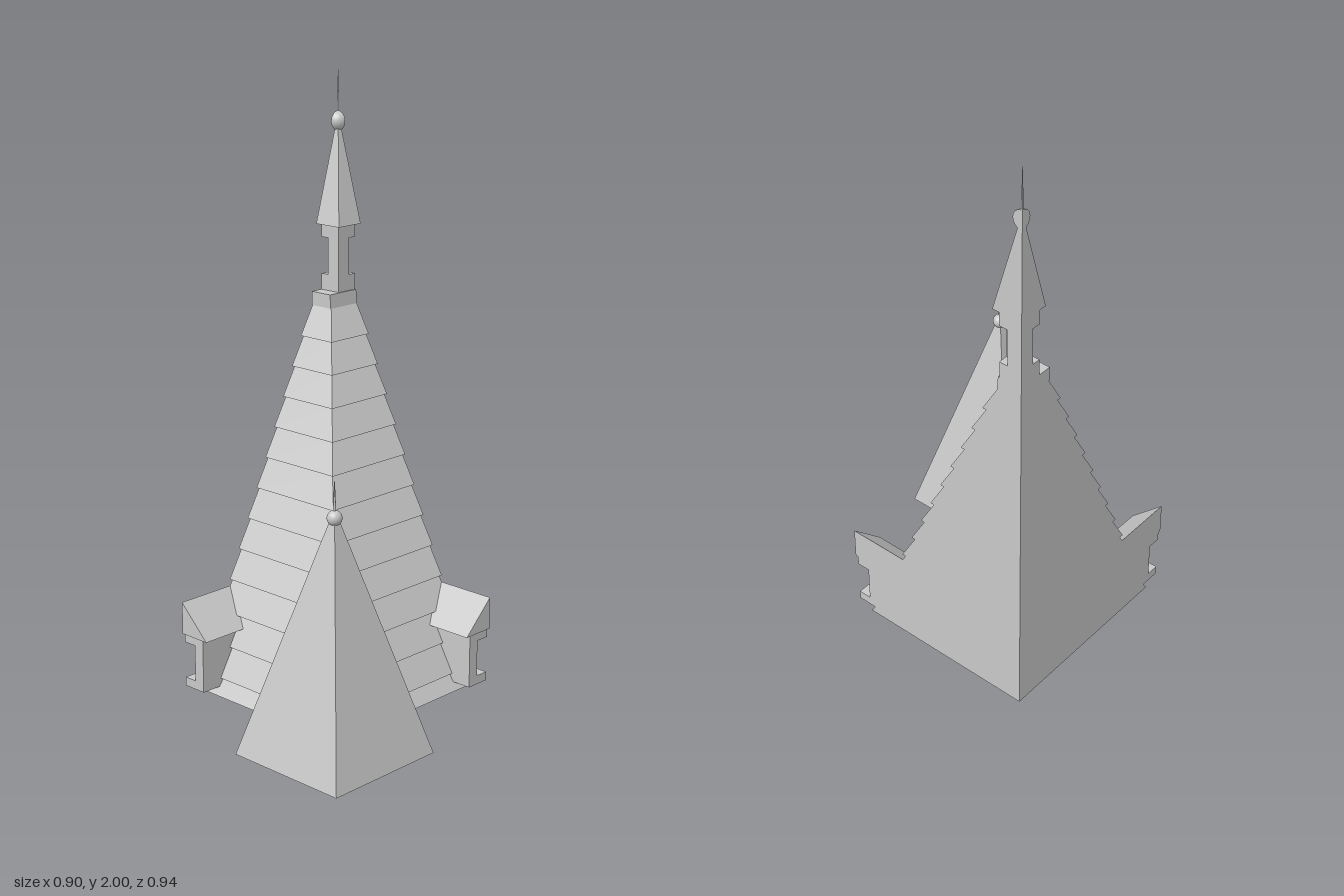
import * as THREE from 'three';

const stone = new THREE.MeshStandardMaterial({ color: 0xc8c8c8 });
stone.name = 'pale grey stone';

// Corner where the two flat section planes meet (the axis of the main spire)
const CX = -0.45, CZ = -0.47;

// Stack of rectangular rings [y, x0, x1, z0, z1] from bottom to top, closed and flat shaded
function loft(name, rings) {
  const pos = [];
  const tri = (a, b, c) => {
    const area = b.clone().sub(a).cross(c.clone().sub(a)).length();
    if (area > 1e-8) for (const p of [a, b, c]) pos.push(p.x, p.y, p.z);
  };
  const quad = (a, b, c, d) => { tri(a, b, c); tri(a, c, d); };
  const loops = rings.map(([y, x0, x1, z0, z1]) =>
    [[x0, z0], [x0, z1], [x1, z1], [x1, z0]].map(([x, z]) => new THREE.Vector3(x, y, z)));
  for (let i = 0; i < loops.length - 1; i++) {
    const lo = loops[i], hi = loops[i + 1];
    for (let k = 0; k < 4; k++) {
      const n = (k + 1) % 4;
      quad(lo[k], lo[n], hi[n], hi[k]);
    }
  }
  const bottom = loops[0], top = loops[loops.length - 1];
  quad(bottom[3], bottom[2], bottom[1], bottom[0]);
  quad(...top);
  const geo = new THREE.BufferGeometry();
  geo.setAttribute('position', new THREE.Float32BufferAttribute(pos, 3));
  geo.computeVertexNormals();
  const mesh = new THREE.Mesh(geo, stone);
  mesh.name = name;
  return mesh;
}

// Ring measured outwards from the section corner
const ring = (y, dx, dz) => [y, CX, CX + dx, CZ, CZ + dz];

// Ball and needle; a quarter finial gets flat faces on the section planes
function finial(name, x, z, ballY, r, tipY, quarter) {
  const group = new THREE.Group();
  group.name = name;
  const add = (part, geo, y, rotY = 0) => {
    const mesh = new THREE.Mesh(geo, stone);
    mesh.name = part;
    mesh.position.y = y;
    mesh.rotation.y = rotY;
    group.add(mesh);
  };
  const sweep = quarter ? Math.PI / 2 : Math.PI * 2;
  const h = tipY - ballY;
  add('ball', new THREE.SphereGeometry(r, quarter ? 8 : 24, 16, quarter ? Math.PI / 2 : 0, sweep), ballY);
  add('needle', new THREE.CylinderGeometry(0.001, 0.006, h, quarter ? 4 : 10, 1, false, 0, sweep), ballY + h / 2);
  if (quarter) {
    const half = new THREE.CircleGeometry(r, 16, -Math.PI / 2, Math.PI);
    const halfMirror = new THREE.CircleGeometry(r, 16, Math.PI / 2, Math.PI);
    add('ballSection', halfMirror, ballY, Math.PI);
    add('ballSection', half, ballY, -Math.PI / 2);
    const blade = new THREE.Shape([[0, 0], [0.006, 0], [0.001, h], [0, h]].map(p => new THREE.Vector2(...p)));
    const bladeMirror = new THREE.Shape([[0, 0], [0, h], [-0.001, h], [-0.006, 0]].map(p => new THREE.Vector2(...p)));
    add('needleSection', new THREE.ShapeGeometry(bladeMirror), ballY, Math.PI);
    add('needleSection', new THREE.ShapeGeometry(blade), ballY, -Math.PI / 2);
  }
  group.position.set(x, 0, z);
  return group;
}

// Half dormer cut by a section plane: u runs along the wall, v runs outwards
function dormer(name, reach, alongX) {
  const group = new THREE.Group();
  group.name = name;
  const v0 = reach - 0.24, front = reach - 0.01, recess = reach - 0.055;
  const at = (y, u0, u1, va, vb) => alongX
    ? [y, CX + u0, CX + u1, CZ + va, CZ + vb]
    : [y, CX + va, CX + vb, CZ + u0, CZ + u1];
  const block = (part, ya, yb, u0, u1, vb) =>
    group.add(loft(part, [at(ya, u0, u1, v0, vb), at(yb, u0, u1, v0, vb)]));
  block('sill', 0.025, 0.055, 0, 0.087, front);
  block('lintel', 0.18, 0.212, 0, 0.087, front);
  block('jamb', 0.055, 0.18, 0.048, 0.087, front);
  block('windowRecess', 0.055, 0.18, 0, 0.048, recess);
  group.add(loft('dormerRoof', [at(0.212, 0, 0.115, v0, reach), at(0.322, 0, 0, v0, reach)]));
  return group;
}

export function createModel() {
  const model = new THREE.Group();
  model.name = 'spireQuarter';

  // Main spire: overlapping courses, each one stepping out over the one below
  const rings = [], rise = 0.0975, run = 0.0427, lip = 0.014;
  const outX = y => 0.634 - y * run / rise + 0.003;
  const levels = [0];
  for (let i = 0; i <= 12; i++) levels.push(0.053 + i * rise);
  for (let i = 0; i < levels.length - 1; i++) {
    const a = outX(levels[i]), b = outX(levels[i + 1]) - lip;
    rings.push(ring(levels[i], a, a + 0.036), ring(levels[i + 1], b, b + 0.036));
  }
  model.add(loft('mainSpireCourses', rings));

  // Collar under the lantern
  model.add(loft('collar', [ring(1.223, 0.089, 0.127), ring(1.27, 0.085, 0.127)]));

  // Lantern with a recessed opening on each side
  const lantern = new THREE.Group();
  lantern.name = 'lantern';
  lantern.add(
    loft('lanternBase', [ring(1.27, 0.08, 0.08), ring(1.325, 0.08, 0.08)]),
    loft('lanternCore', [ring(1.325, 0.05, 0.05), ring(1.45, 0.05, 0.05)]),
    loft('lanternPost', [1.325, 1.45].map(y => [y, CX + 0.031, CX + 0.08, CZ + 0.031, CZ + 0.08])),
    loft('lanternHead', [ring(1.45, 0.08, 0.08), ring(1.5, 0.08, 0.08)]),
    loft('lanternRoof', [ring(1.497, 0.105, 0.105), ring(1.86, 0, 0)]));
  model.add(lantern);
  model.add(finial('mainFinial', CX, CZ, 1.832, 0.033, 2, true));

  // Dormers at the foot of the front and left faces
  model.add(dormer('frontDormer', 0.737, true));
  model.add(dormer('leftDormer', 0.698, false));

  // Small corner spire
  const sx = 0.232, sz = 0.251, w = 0.217;
  model.add(loft('cornerSpire', [
    [0, sx - w, sx + w, sz - w, sz + w],
    [0.8, sx, sx, sz, sz]]));
  model.add(finial('cornerFinial', sx, sz, 0.77, 0.024, 0.885, false));

  return model;
}
